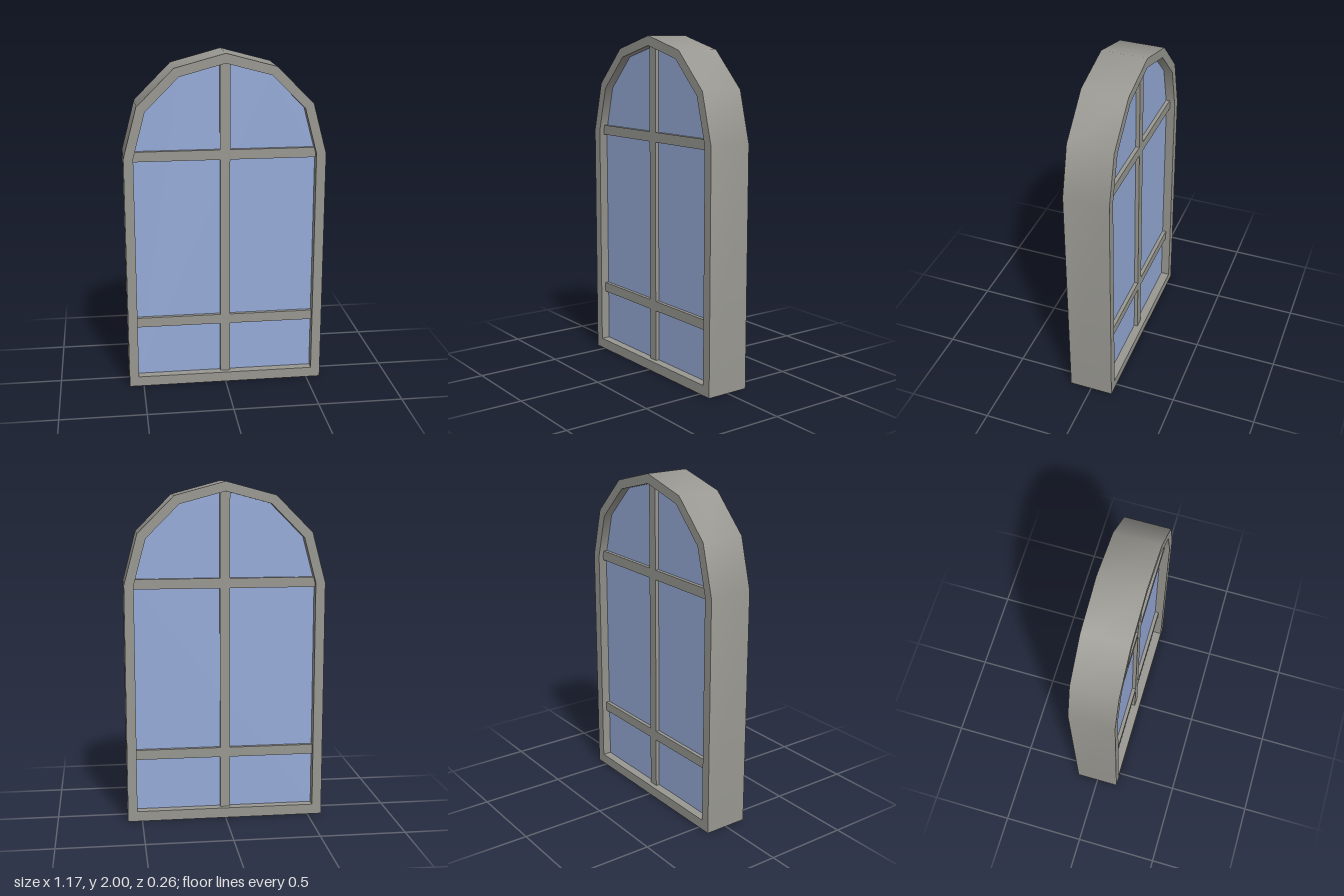
import * as THREE from 'three';
import { toCreasedNormals } from 'three/addons/utils/BufferGeometryUtils.js';

const DEPTH = 0.265, SPRING = 1.413;
const OUTER = 0.585, INNER = 0.529, SILL = 0.06;
const BAR_DEPTH = 0.205, GLASS_DEPTH = 0.16, BAR = 0.058;

// Upright outline with a six-sided arch on top
function archPoints(radius, bottom) {
  const points = [new THREE.Vector2(-radius, bottom), new THREE.Vector2(radius, bottom)];
  for (let i = 0; i <= 6; i++) {
    const a = (i * Math.PI) / 6;
    points.push(new THREE.Vector2(radius * Math.cos(a), SPRING + radius * Math.sin(a)));
  }
  return points;
}

// Extrusion centred on z = 0
function slab(shape, depth) {
  const geometry = new THREE.ExtrudeGeometry(shape, { depth, bevelEnabled: false });
  geometry.translate(0, 0, -depth / 2);
  return geometry;
}

export function createModel() {
  const group = new THREE.Group();
  const stone = new THREE.MeshStandardMaterial({ color: 0x989791 });
  const blue = new THREE.MeshStandardMaterial({ color: 0x96abd8 });

  const add = (name, geometry, material) => {
    const mesh = new THREE.Mesh(geometry, material);
    mesh.name = name;
    group.add(mesh);
    return mesh;
  };

  // Arched surround, softly shaded around the arch
  const surround = new THREE.Shape(archPoints(OUTER, 0));
  surround.holes.push(new THREE.Path(archPoints(INNER, SILL)));
  add('frame', toCreasedNormals(slab(surround, DEPTH), 0.6), stone);

  // Glazing set back from both faces
  add('glass', slab(new THREE.Shape(archPoints(INNER, SILL)), GLASS_DEPTH), blue);

  // Upright bar from sill to crown
  const top = SPRING + INNER;
  add('mullion', new THREE.BoxGeometry(BAR, top - SILL, BAR_DEPTH), stone)
    .position.y = (top + SILL) / 2;

  // Cross bars, split either side of the upright
  const length = INNER - BAR / 2;
  for (const [name, y] of [['lowerBar', 0.4], ['upperBar', 1.415]]) {
    for (const side of [-1, 1]) {
      add(name + (side > 0 ? 'Left' : 'Right'), new THREE.BoxGeometry(length, BAR, BAR_DEPTH), stone)
        .position.set(side * (BAR + length * 1) / 2, y, 0);
    }
  }
  return group;
}
